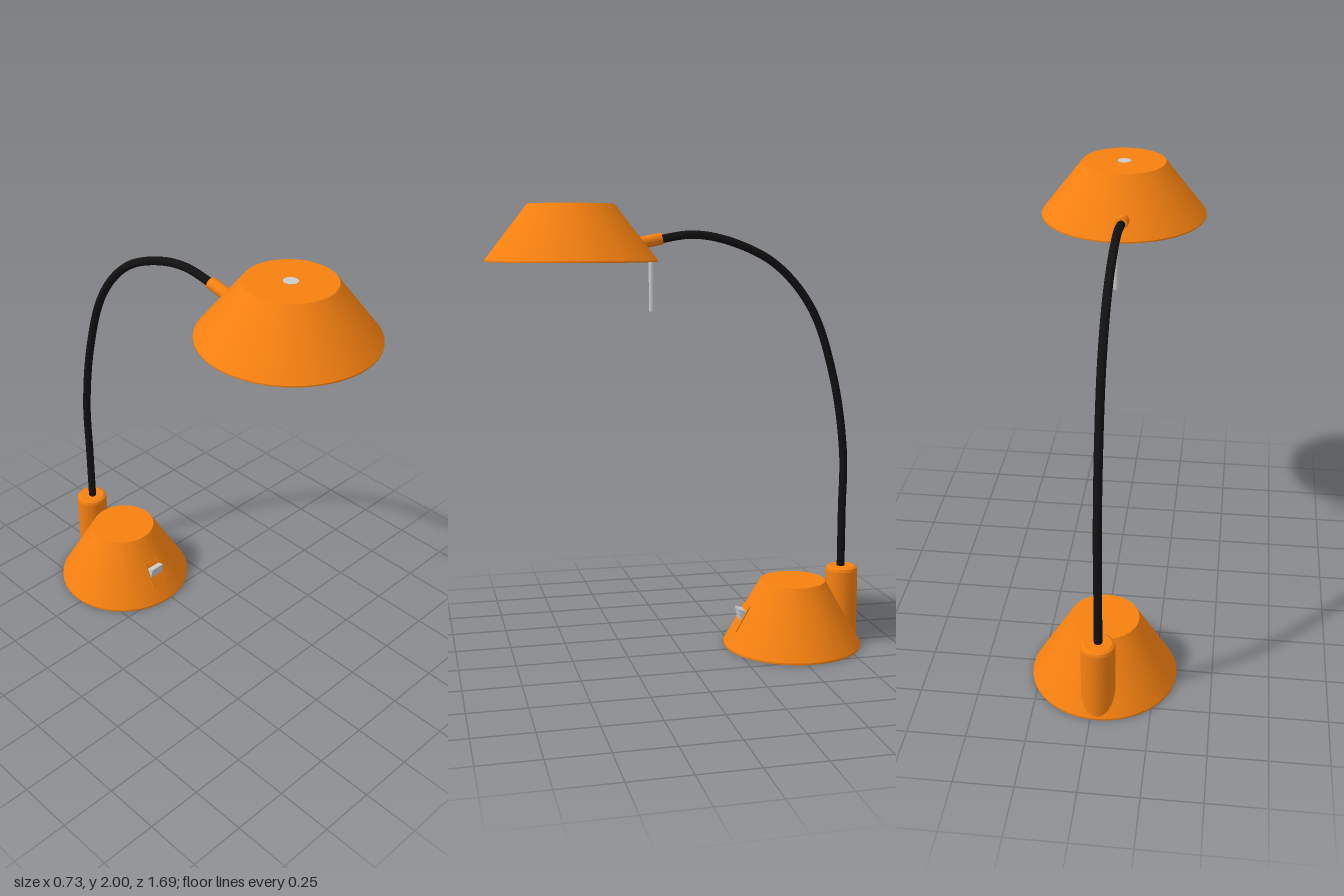
import * as THREE from 'three';

const orange = new THREE.MeshStandardMaterial({ color: 0xf58010 });
const black = new THREE.MeshStandardMaterial({ color: 0x111111 });
const grey = new THREE.MeshStandardMaterial({ color: 0xcccccc });

const AXIS = -0.027; // x of the base, column and neck

function add(group, name, geometry, material, x = 0, y = 0, z = 0) {
  const mesh = new THREE.Mesh(geometry, material);
  mesh.name = name;
  mesh.position.set(x, y, z);
  group.add(mesh);
  return mesh;
}

// Solid of revolution from [radius, y] pairs, each band shaded on its own so edges stay crisp
function turned(group, name, profile, material, x, z) {
  const part = new THREE.Group();
  part.name = name;
  part.position.set(x, 0, z);
  for (let i = 0; i < profile.length - 1; i++) {
    const band = [profile[i], profile[i + 1]].map(([r, y]) => new THREE.Vector2(r, y));
    add(part, name + 'Band', new THREE.LatheGeometry(band, 64), material);
  }
  group.add(part);
}

export function createModel() {
  const lamp = new THREE.Group();
  lamp.name = 'deskLamp';

  // Conical foot and the column set into its back
  turned(lamp, 'base', [[0, 0], [0.317, 0], [0.317, 0.008], [0.15, 0.3], [0, 0.3]], orange, AXIS, -0.53);
  turned(lamp, 'column', [[0, 0.005], [0.073, 0.005], [0.073, 0.335], [0.069, 0.348], [0.058, 0.355], [0, 0.355]],
    orange, AXIS, -0.77);

  // Bent neck
  const path = [[0.34, -0.765], [0.62, -0.765], [0.89, -0.765], [1.24, -0.71], [1.55, -0.6],
    [1.745, -0.43], [1.845, -0.22], [1.873, -0.055], [1.853, 0.09], [1.843, 0.14]];
  const curve = new THREE.CatmullRomCurve3(path.map(([y, z]) => new THREE.Vector3(AXIS, y, z)));
  add(lamp, 'neck', new THREE.TubeGeometry(curve, 96, 0.018, 16), black);

  // Collar joining the neck to the shade
  const collar = add(lamp, 'collar', new THREE.CylinderGeometry(0.026, 0.026, 0.13, 24), orange, AXIS, 1.843, 0.148);
  collar.rotation.x = Math.PI / 2 + 0.2;

  // Shade with a rim, a flush diffuser underneath and a cap on top
  turned(lamp, 'shade', [[0.335, 1.764], [0.34, 1.76], [0.365, 1.76], [0.365, 1.766], [0.183, 1.999], [0, 1.999]],
    orange, 0, 0.48);
  add(lamp, 'diffuser', new THREE.CylinderGeometry(0.34, 0.34, 0.01, 64), grey, 0, 1.768, 0.48);
  add(lamp, 'topCap', new THREE.CylinderGeometry(0.03, 0.03, 0.01, 32), grey, 0, 1.995, 0.48);

  // Thin rod hanging from the back of the shade
  add(lamp, 'hangingRod', new THREE.CylinderGeometry(0.012, 0.012, 0.24, 16), grey, -0.002, 1.665, 0.135);

  // Rocker switch on the sloping front of the foot
  const frame = add(lamp, 'switchFrame', new THREE.BoxGeometry(0.084, 0.13, 0.02), orange, -0.037, 0.132, -0.291);
  frame.rotation.x = -0.52;
  const wedge = new THREE.Shape();
  [[0.27, 0.085], [0.283, 0.1], [0.267, 0.182], [0.32, 0.165], [0.32, 0.085]].forEach(([z, y], i) => {
    if (i) wedge.lineTo(z, y);
    else wedge.moveTo(z, y);
  });
  const rocker = add(lamp, 'switchRocker', new THREE.ExtrudeGeometry(wedge, { depth: 0.07, bevelEnabled: false }),
    grey, -0.072, 0, 0);
  rocker.rotation.y = Math.PI / 2;

  return lamp;
}
